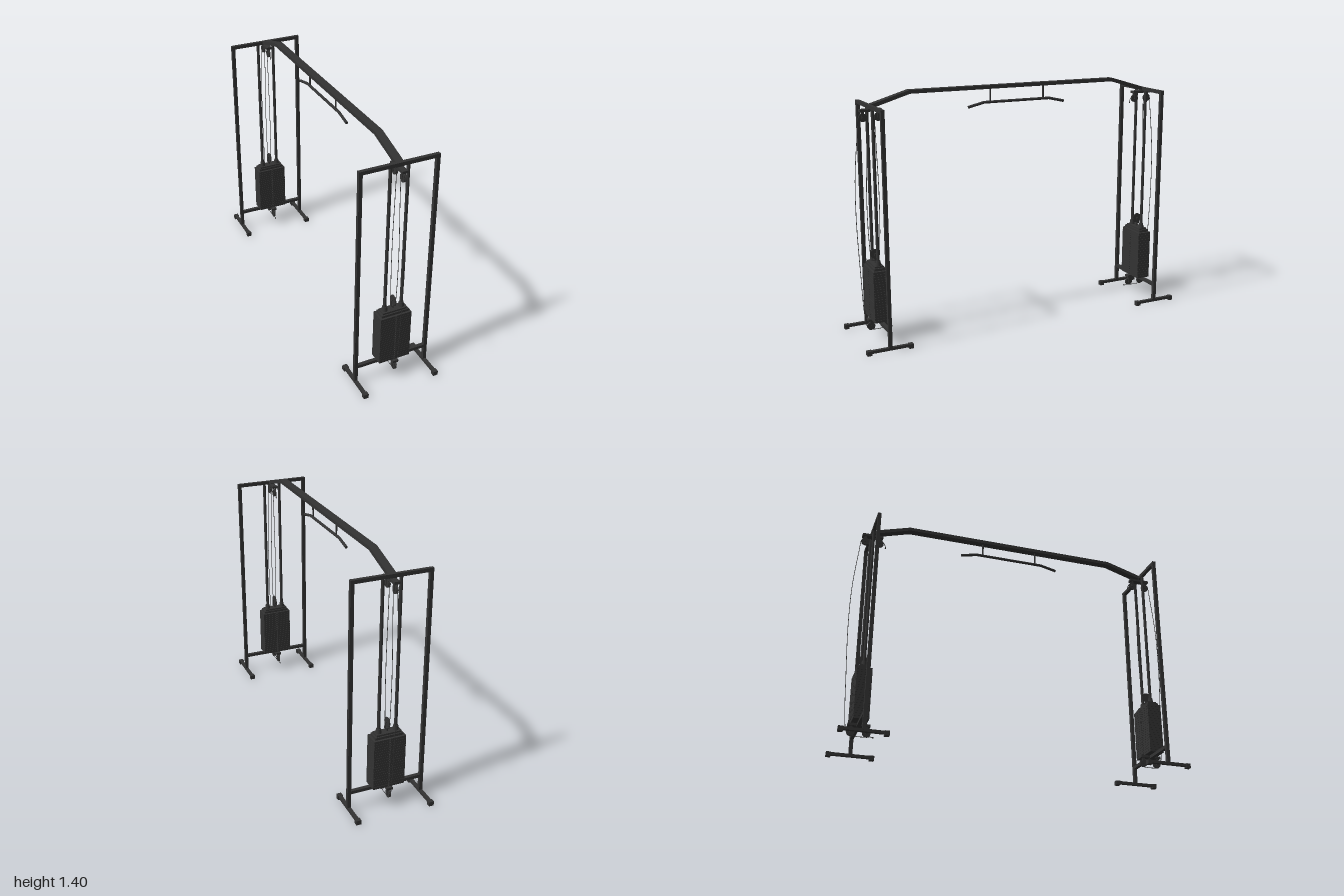
import * as THREE from 'three';

const steel = new THREE.MeshStandardMaterial({ color: 0x333333 });

function add(parent, name, geometry, x = 0, y = 0, z = 0) {
  const mesh = new THREE.Mesh(geometry, steel);
  mesh.name = name;
  mesh.position.set(x, y, z);
  parent.add(mesh);
  return mesh;
}

const box = (w, h, d) => new THREE.BoxGeometry(w, h, d);
const rod = (r, h, sides = 16) => new THREE.CylinderGeometry(r, r, h, sides);
const v = (y, z) => new THREE.Vector3(0, y, z);

// Cable or thin rod through [y, z] points
function cable(points, r = 0.0018) {
  const curve = new THREE.CatmullRomCurve3(points.map(([y, z]) => v(y, z)));
  return new THREE.TubeGeometry(curve, 40, r, 6);
}

// Side outline [z, y] swept to a width along x
function sideExtrude(outline, width) {
  const shape = new THREE.Shape(outline.map(([z, y]) => new THREE.Vector2(z, y)));
  const geometry = new THREE.ExtrudeGeometry(shape, { depth: width, bevelEnabled: false });
  return geometry.translate(0, 0, -width / 2).rotateY(-Math.PI / 2);
}

// Grooved wheel turning about x
function wheel(r, width) {
  const h = width / 2;
  const profile = [[0.004, -h], [r, -h], [r, -h * 0.6], [r * 0.85, 0], [r, h * 0.6], [r, h], [0.004, h], [0.004, -h]];
  const geometry = new THREE.LatheGeometry(profile.map(([a, b]) => new THREE.Vector2(a, b)), 24);
  return geometry.toNonIndexed().rotateZ(Math.PI / 2);
}

// One wheel held by two cheek plates and an axle
function pulley(parent, y, z, top) {
  const group = new THREE.Group();
  group.name = 'pulley';
  group.position.set(0, y, z);
  const w = add(group, 'pulleyWheel', wheel(0.023, 0.012));
  w.geometry.computeVertexNormals();
  for (const s of [-1, 1]) add(group, 'pulleyCheek', box(0.003, top - y + 0.01, 0.014), s * 0.0085, (top - y) / 2, 0);
  add(group, 'pulleyAxle', rod(0.005, 0.024).rotateZ(Math.PI / 2));
  parent.add(group);
}

function weightStack() {
  const stack = new THREE.Group();
  stack.name = 'weightStack';
  // Plates with a pin hole through the middle
  const face = new THREE.Shape([[-0.092, 0], [0.092, 0], [0.092, 0.0138], [-0.092, 0.0138]].map(p => new THREE.Vector2(...p)));
  face.holes.push(new THREE.Path([[-0.004, 0.004], [-0.004, 0.01], [0.004, 0.01], [0.004, 0.004]].map(p => new THREE.Vector2(...p))));
  const plate = new THREE.ExtrudeGeometry(face, { depth: 0.085, bevelEnabled: false }).translate(0, 0, -0.0425);
  for (let i = 0; i < 20; i++) add(stack, 'weightPlate', plate, 0, 0.126 + i * 0.0149, 0);
  // Top plate and guide collars
  add(stack, 'topPlate', box(0.162, 0.014, 0.064), 0, 0.431, 0);
  add(stack, 'topPlateCap', box(0.142, 0.01, 0.05), 0, 0.443, 0);
  for (const s of [-1, 1]) {
    add(stack, 'guideCollar', new THREE.CylinderGeometry(0.013, 0.017, 0.028, 16), s * 0.05, 0.46, 0);
  }
  // Selector pin
  add(stack, 'selectorPin', rod(0.003, 0.014, 12).rotateX(Math.PI / 2), 0, 0.34, -0.045);
  add(stack, 'selectorKnob', rod(0.006, 0.008, 12).rotateX(Math.PI / 2), 0, 0.34, -0.049);
  // Lifting pulley in a fork
  add(stack, 'liftStem', rod(0.005, 0.025, 12), 0, 0.455, 0);
  add(stack, 'forkBase', box(0.026, 0.005, 0.02), 0, 0.467, 0);
  for (const s of [-1, 1]) add(stack, 'forkArm', box(0.003, 0.038, 0.016), s * 0.0115, 0.484, 0);
  const lift = add(stack, 'liftPulley', wheel(0.028, 0.008), 0, 0.5, 0);
  lift.geometry.computeVertexNormals();
  add(stack, 'liftAxle', rod(0.004, 0.026, 12).rotateZ(Math.PI / 2), 0, 0.5, 0);
  return stack;
}

// End tower: local +z points away from the middle of the machine
function tower() {
  const group = new THREE.Group();
  group.name = 'tower';
  for (const s of [-1, 1]) {
    const x = s * 0.215;
    add(group, 'upright', box(0.02, 1.312, 0.02), x, 0.676, 0);
    add(group, 'footBar', box(0.019, 0.016, 0.26), x, 0.017, 0.001);
    for (const z of [-0.119, 0.121]) add(group, 'footCap', box(0.028, 0.026, 0.026), x, 0.013, z);
    add(group, 'guideRod', rod(0.009, 1.2), s * 0.05, 0.717, 0);
  }
  add(group, 'topCrossbar', box(0.45, 0.02, 0.02), 0, 1.323, 0);
  add(group, 'lowerCrossbar', box(0.43, 0.018, 0.02), 0, 0.118, 0);

  // Pulley brackets, upper and lower
  for (const [y, wheelY] of [[1.304, 1.265], [0.119, 0.08]]) {
    add(group, 'pulleyBracket', box(0.034, 0.014, 0.122), 0, y, -0.003);
    for (const z of [0.039, -0.047]) pulley(group, wheelY, z, y);
  }

  group.add(weightStack());

  // Cables: outer return run, two lifting runs and two handle ends
  add(group, 'outerCable', cable([[1.287, 0.04], [1.275, 0.06], [1.2, 0.07], [0.95, 0.094], [0.7, 0.098], [0.4, 0.087], [0.15, 0.074], [0.08, 0.062], [0.058, 0.04]]));
  add(group, 'liftCable', cable([[1.265, 0.017], [1.1, 0.022], [0.85, 0.034], [0.65, 0.034], [0.5, 0.027]]));
  add(group, 'liftCable', cable([[1.265, -0.026], [1.1, -0.03], [0.85, -0.036], [0.65, -0.034], [0.5, -0.027]]));
  add(group, 'upperHandleCable', cable([[1.287, -0.047], [1.275, -0.068], [1.25, -0.082], [1.238, -0.084]]));
  add(group, 'lowerHandleCable', cable([[0.058, 0.039], [0.056, 0], [0.058, -0.047], [0.062, -0.068], [0.055, -0.086]]));
  for (const [y, z] of [[1.242, -0.082], [0.06, -0.082]]) {
    add(group, 'cableStop', new THREE.SphereGeometry(0.004, 10, 8), 0, y, z);
  }
  return group;
}

export function createModel() {
  const model = new THREE.Group();
  model.name = 'cableCrossoverMachine';

  for (const s of [1, -1]) {
    const t = tower();
    t.position.z = s * 0.866;
    if (s < 0) t.rotation.y = Math.PI;
    model.add(t);
  }

  // Overhead beam with sloping ends
  const beam = [
    [-0.875, 1.332], [-0.645, 1.4], [0.645, 1.4], [0.875, 1.332],
    [0.875, 1.31], [0.642, 1.38], [-0.642, 1.38], [-0.875, 1.31],
  ].reverse();
  add(model, 'overheadBeam', sideExtrude(beam, 0.044));

  // Pull-up bar hung under the beam
  const bar = new THREE.Group();
  bar.name = 'pullUpBar';
  bar.position.z = -0.014;
  const path = new THREE.CurvePath();
  const points = [v(1.281, 0.305), v(1.303, 0.208), v(1.303, -0.208), v(1.281, -0.305)];
  for (let i = 0; i < 3; i++) path.add(new THREE.LineCurve3(points[i], points[i + 1]));
  path.curves.forEach(line => {
    const length = line.getLength();
    const piece = add(bar, 'gripBar', rod(0.008, length));
    piece.position.copy(line.getPoint(0.5));
    piece.quaternion.setFromUnitVectors(new THREE.Vector3(0, 1, 0), line.getTangent(0.5));
  });
  for (const p of points.slice(1, 3)) add(bar, 'gripJoint', new THREE.SphereGeometry(0.008, 14, 10), 0, p.y, p.z);
  for (const s of [-1, 1]) add(bar, 'hanger', rod(0.005, 0.085, 12), 0, 1.344, s * 0.169);
  model.add(bar);

  return model;
}
